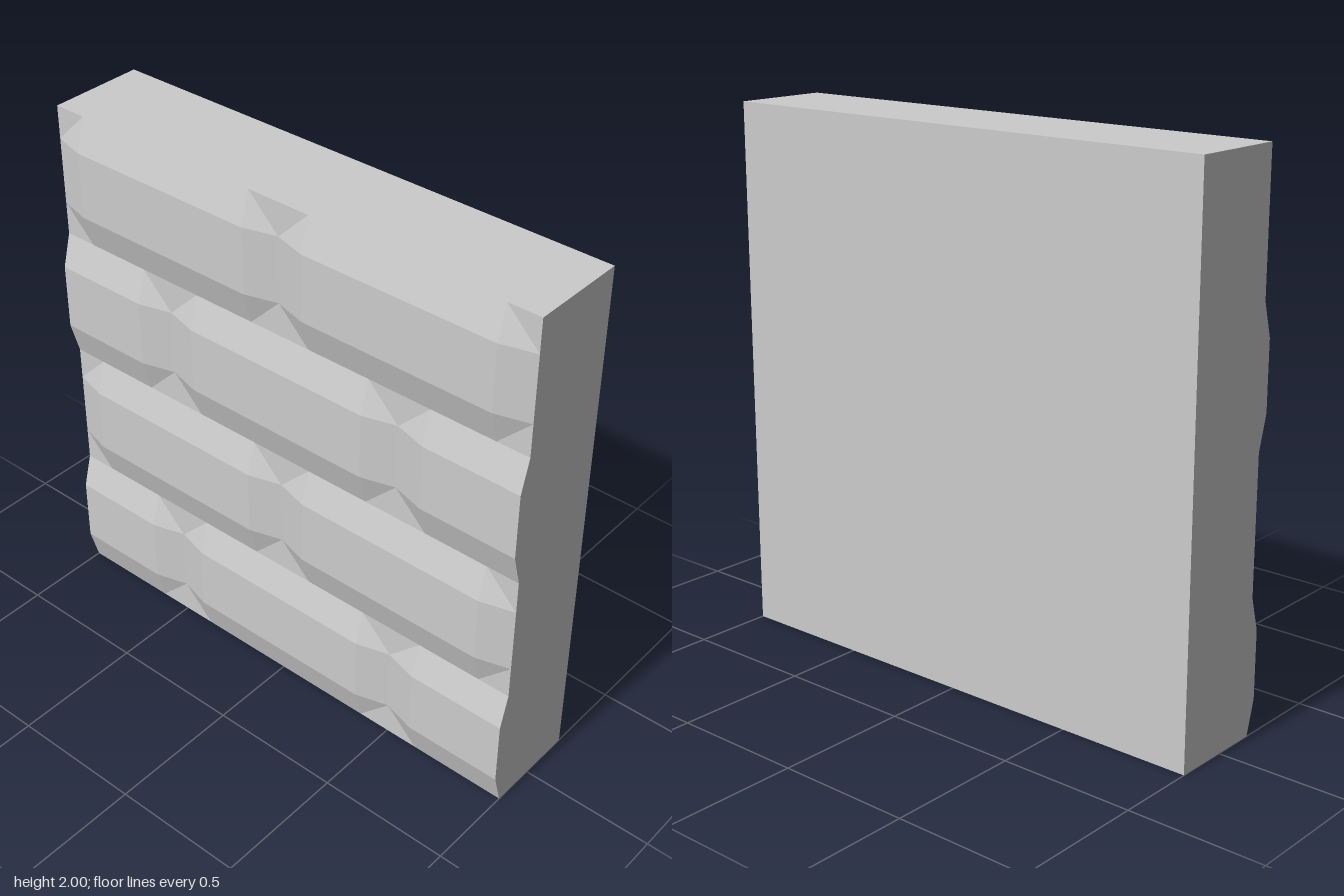
import * as THREE from 'three';
import { ConvexGeometry } from 'three/addons/geometries/ConvexGeometry.js';

const BACK = -0.2, JOINT = 0.165, FACE = 0.2; // depths of back, mortar plane and brick faces
const ROW = 0.5, BEVEL = 0.125;

const material = new THREE.MeshStandardMaterial({ color: 0xcccccc, flatShading: true });

// Bevelled brick with cut corners; an end lying on a wall edge can be sawn straight
function brick(x0, x1, y0, cutLeft, cutRight) {
  const y1 = y0 + ROW, points = [];
  const add = (x, y, z) => points.push(new THREE.Vector3(x, y, z));
  for (const [x, inward, cut] of [[x0, 1, cutLeft], [x1, -1, cutRight]]) {
    const inner = cut ? x : x + inward * BEVEL;
    for (const [y, up] of [[y0, 1], [y1, -1]]) {
      add(inner, y, JOINT);
      if (!cut) add(x, y + up * BEVEL, JOINT);
      add(inner, y + up * BEVEL, FACE);
    }
  }
  return new THREE.Mesh(new ConvexGeometry(points), material);
}

export function createModel() {
  const group = new THREE.Group();
  group.name = 'brickWall';

  // Solid slab behind the bricks; its front shows as mortar at the joints
  const slab = new THREE.Mesh(new THREE.BoxGeometry(2, 2, JOINT - BACK), material);
  slab.position.set(0, 1, (JOINT + BACK) / 2);
  slab.name = 'wallSlab';
  group.add(slab);

  // Four courses in running bond: half bricks end the even ones
  for (let row = 0; row < 4; row++) {
    const course = new THREE.Group();
    course.name = `brickCourse${row + 1}`;
    const joints = row % 2 ? [-1, 0, 1] : [-1, -0.5, 0.5, 1];
    for (let i = 0; i < joints.length - 1; i++) {
      const [x0, x1] = [joints[i], joints[i + 1]];
      const half = x1 - x0 < 0.75;
      const mesh = brick(x0, x1, row * ROW, half && x0 === -1, half && x1 === 1);
      mesh.name = half ? 'halfBrick' : 'brick';
      course.add(mesh);
    }
    group.add(course);
  }
  return group;
}
